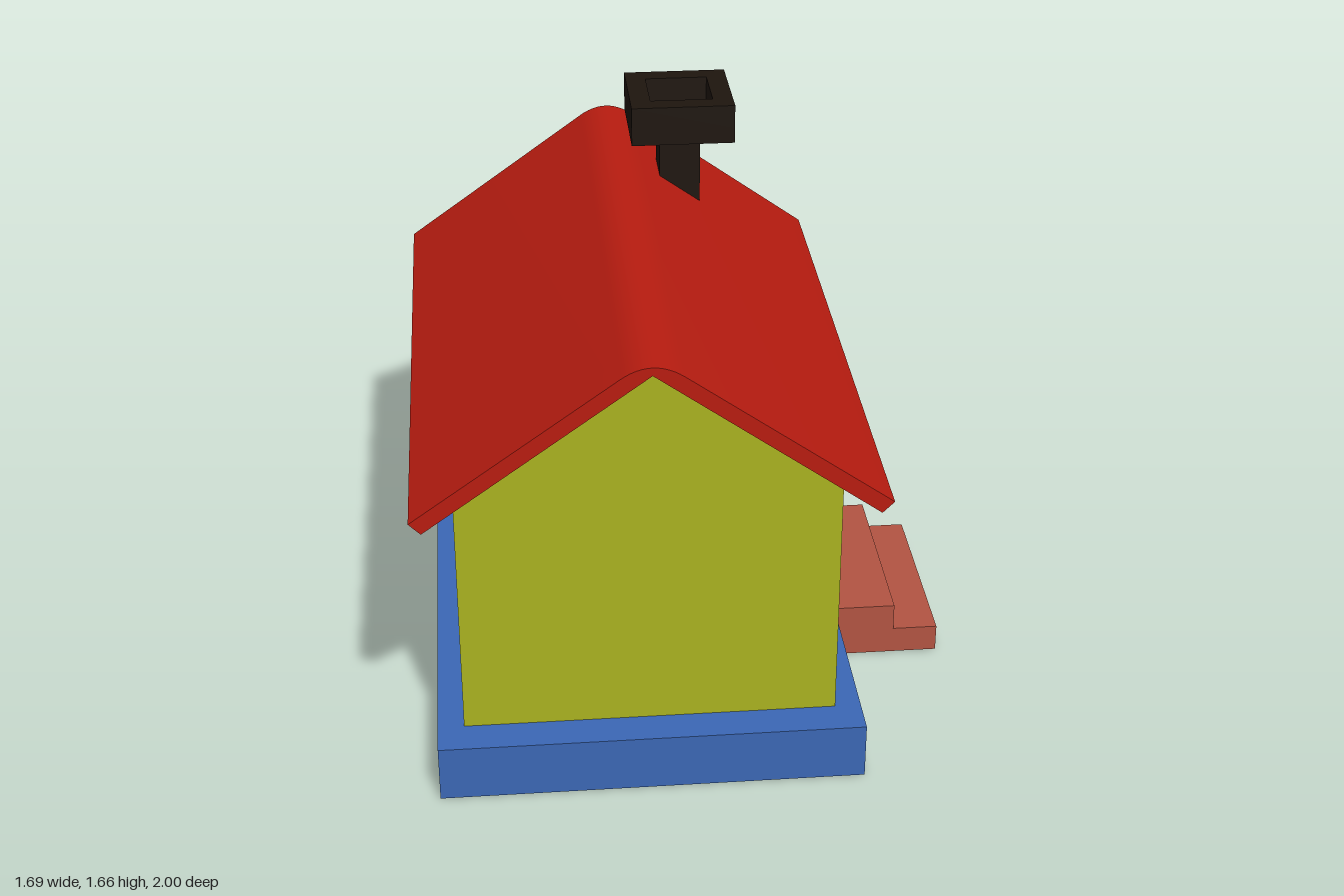
import * as THREE from 'three';
import { toCreasedNormals } from 'three/addons/utils/BufferGeometryUtils.js';

const paint = (color) => new THREE.MeshStandardMaterial({ color, side: THREE.DoubleSide });

function add(parent, name, geometry, material, x = 0, y = 0, z = 0) {
  const mesh = new THREE.Mesh(geometry, material);
  mesh.name = name;
  mesh.position.set(x, y, z);
  parent.add(mesh);
  return mesh;
}

const poly = (pts) => new THREE.Shape(pts.map(([x, y]) => new THREE.Vector2(x, y)));
const rectPoints = (x0, x1, y0, y1) => [[x0, y0], [x1, y0], [x1, y1], [x0, y1]];
const rect = (...r) => poly(rectPoints(...r));

// Rectangle with rectangular openings
function pierced(outer, holes) {
  const shape = rect(...outer);
  for (const h of holes) shape.holes.push(rect(...h));
  return shape;
}

const flat = (shape) => new THREE.ShapeGeometry(shape);
const solid = (shape, depth) => new THREE.ExtrudeGeometry(shape, { depth, bevelEnabled: false });

// Thin strip: a polyline in the xy plane swept along z
function ribbon(pts, z0, z1) {
  const pos = [];
  for (let i = 0; i < pts.length - 1; i++) {
    const [a, b] = pts[i], [c, d] = pts[i + 1];
    pos.push(a, b, z0, c, d, z0, c, d, z1, a, b, z0, c, d, z1, a, b, z1);
  }
  const g = new THREE.BufferGeometry();
  g.setAttribute('position', new THREE.Float32BufferAttribute(pos, 3));
  g.computeVertexNormals();
  return g;
}

const loop = (...r) => { const p = rectPoints(...r); return [...p, p[0]]; };

export function createModel() {
  const house = new THREE.Group();
  house.name = 'house';
  const wallMat = paint(0xaab220), roofMat = paint(0xb81c10), baseMat = paint(0x3b67b5);
  const stepMat = paint(0xb25442), sootMat = paint(0x1e150e), barMat = paint(0x0d0dae);
  const glassMat = paint(0x66dcc6), doorMat = paint(0x96b02c), trimMat = paint(0xb5688c);
  const knobMat = paint(0x8a2a1a);

  // Hollow plinth: skirt open behind the steps, and a ledge around the walls
  const skirt = [[0.5, 0.325], [0.5, 0.975], [-0.8, 0.975], [-0.8, -0.975], [0.5, -0.975], [0.5, -0.325]];
  add(house, 'baseSkirt', ribbon(skirt, 0, 0.18).rotateX(-Math.PI / 2), baseMat);
  const ledge = pierced([-0.8, 0.5, -0.975, 0.975], [[-0.72, 0.42, -0.86, 0.86]]);
  add(house, 'baseLedge', flat(ledge).rotateX(-Math.PI / 2), baseMat, 0, 0.18, 0);

  // Two steps, hollow underneath
  const stair = [[0.5, 0.18], [0.7, 0.18], [0.7, 0.09], [0.845, 0.09], [0.845, 0]];
  add(house, 'steps', ribbon(stair, -0.325, 0.325), stepMat);
  for (const z of [-0.325, 0.325]) add(house, 'stepSide', flat(poly([[0.5, 0], ...stair])), stepMat, 0, 0, z);

  // Gable walls and plain long wall
  const gable = [[-0.72, 0.18], [0.42, 0.18], [0.42, 1.02], [-0.15, 1.43], [-0.72, 1.02]];
  for (const z of [-0.86, 0.86]) add(house, 'gableWall', flat(poly(gable)), wallMat, 0, 0, z);
  add(house, 'plainWall', ribbon([[-0.72, 0.18], [-0.72, 1.02]], -0.86, 0.86), wallMat);

  // Entrance wall, drawn flat and turned to face +x
  const entrance = new THREE.Group();
  entrance.name = 'entranceSide';
  entrance.rotation.y = Math.PI / 2;
  entrance.position.x = 0.42;
  house.add(entrance);
  const windows = [[-0.76, -0.37, 0.48, 0.86], [0.37, 0.76, 0.48, 0.86]];
  const doorway = [-0.26, 0.2, 0.18, 0.82];
  const doorRect = [-0.21, 0.145, 0.222, 0.775];
  const wall = poly([[-0.86, 0.18], [doorway[0], 0.18], [doorway[0], doorway[3]], [doorway[1], doorway[3]],
    [doorway[1], 0.18], [0.86, 0.18], [0.86, 1.02], [-0.86, 1.02]]);
  for (const w of windows) wall.holes.push(rect(...w));
  add(entrance, 'entranceWall', flat(wall), wallMat);

  // Recessed four-pane windows
  for (const [x0, x1, y0, y1] of windows) {
    const cx = (x0 + x1) / 2, cy = (y0 + y1) / 2, f = 0.027, m = 0.01;
    const panes = [];
    for (const [a, b] of [[x0 + f, cx - m], [cx + m, x1 - f]])
      for (const [c, d] of [[y0 + f, cy - m], [cy + m, y1 - f]]) panes.push([a, b, c, d]);
    add(entrance, 'windowReveal', ribbon(loop(x0, x1, y0, y1), -0.04, 0), wallMat);
    add(entrance, 'windowFrame', solid(pierced([x0, x1, y0, y1], panes), 0.02), barMat, 0, 0, -0.06);
    add(entrance, 'windowGlass', flat(rect(x0 + f, x1 - f, y0 + f, y1 - f)), glassMat, 0, 0, -0.058);
  }

  // Door with raised surround and knob
  add(entrance, 'doorFrame', flat(pierced(doorway, [doorRect])), trimMat, 0, 0, 0.02);
  add(entrance, 'doorReveal', ribbon(loop(...doorRect), -0.02, 0.02), trimMat);
  add(entrance, 'door', flat(rect(...doorRect)), doorMat, 0, 0, -0.02);
  add(entrance, 'doorKnobStem', new THREE.CylinderGeometry(0.01, 0.01, 0.04, 8).rotateX(Math.PI / 2), knobMat, -0.13, 0.493, 0);
  add(entrance, 'doorKnob', new THREE.SphereGeometry(0.022, 12, 8), knobMat, -0.13, 0.493, 0.015);

  // Roof slab with rounded ridge
  const roof = new THREE.Shape();
  roof.moveTo(-0.15, 1.43);
  roof.lineTo(-0.81, 0.955);
  roof.lineTo(-0.845, 0.99);
  roof.lineTo(-0.24, 1.423);
  roof.quadraticCurveTo(-0.15, 1.487, -0.06, 1.423);
  roof.lineTo(0.545, 0.99);
  roof.lineTo(0.51, 0.955);
  roof.closePath();
  add(house, 'roof', toCreasedNormals(solid(roof, 2), 0.4), roofMat, 0, 0, -1);

  // Chimney: stack cut to the roof slope, and a hollowed cap
  const stack = poly([[0, 1.37], [0.135, 1.275], [0.135, 1.53], [0, 1.53]]);
  add(house, 'chimneyStack', solid(stack, 0.14), sootMat, 0, 0, -0.67);
  add(house, 'chimneyCapFloor', new THREE.BoxGeometry(0.34, 0.05, 0.34), sootMat, 0.07, 1.555, -0.6);
  const rim = pierced([-0.17, 0.17, -0.17, 0.17], [[-0.103, 0.103, -0.103, 0.103]]);
  add(house, 'chimneyCapRim', solid(rim, 0.08).rotateX(-Math.PI / 2), sootMat, 0.07, 1.58, -0.6);

  return house;
}
